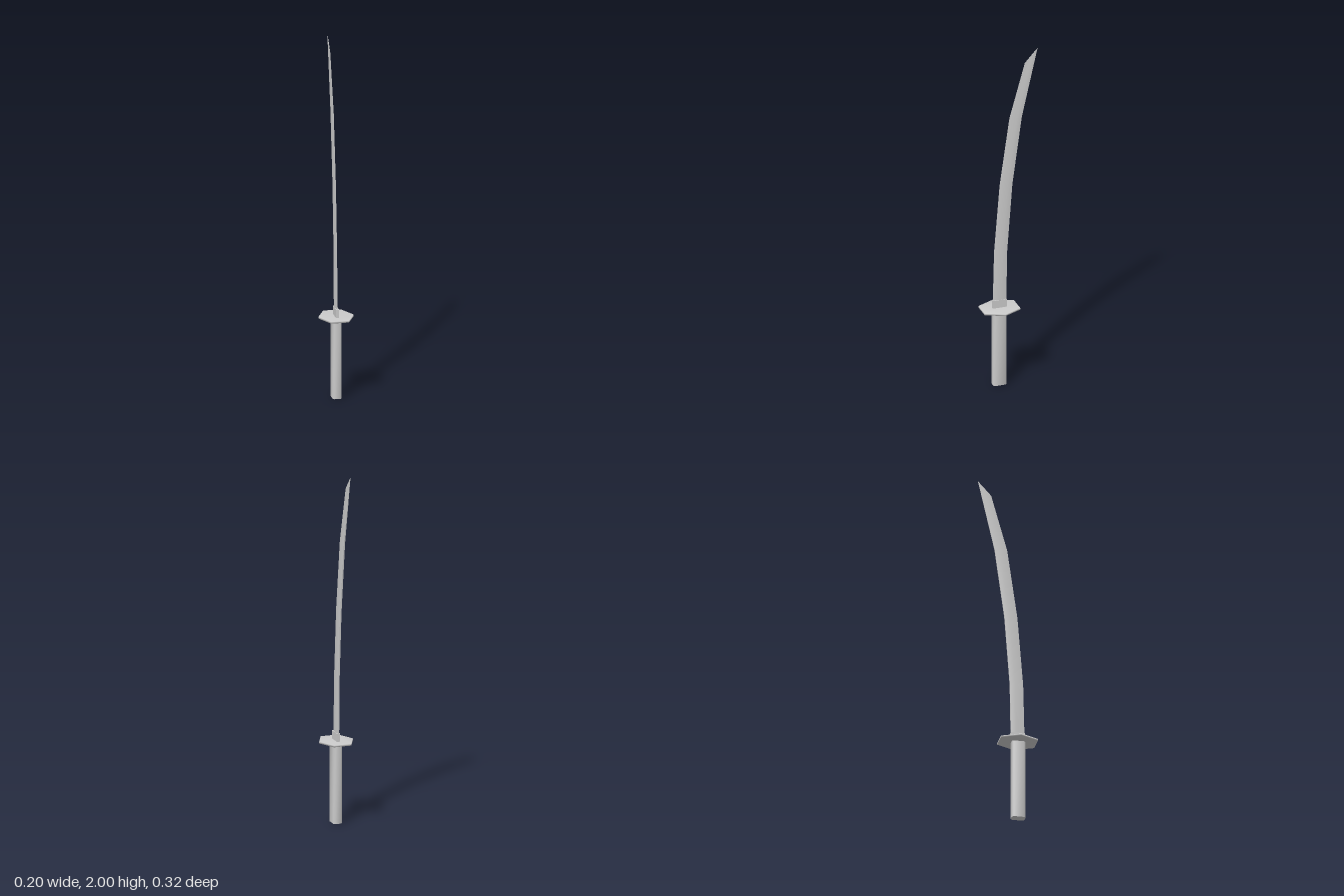
import * as THREE from 'three';
import { toCreasedNormals } from 'three/addons/utils/BufferGeometryUtils.js';

const material = new THREE.MeshStandardMaterial({ color: 0xcccccc });

// Skins equal-sized convex rings of [x, y, z], listed bottom to top, and caps both ends.
function loft(rings) {
  const n = rings[0].length, index = [];
  const last = (rings.length - 1) * n;
  for (let r = 0; r < rings.length - 1; r++) {
    for (let j = 0; j < n; j++) {
      const a = r * n + j, b = r * n + (j + 1) % n;
      index.push(a, b, b + n, a, b + n, a + n);
    }
  }
  for (let j = 1; j < n - 1; j++) {
    index.push(0, j + 1, j, last, last + j, last + j + 1);
  }
  const geometry = new THREE.BufferGeometry();
  geometry.setAttribute('position', new THREE.Float32BufferAttribute(rings.flat(2), 3));
  geometry.setIndex(index);
  geometry.computeVertexNormals();
  return geometry;
}

// Rectangle with cut corners, lying flat at height y.
function chamferedRing(y, hx, hz, cut, cz) {
  const x = hx - cut, z = hz - cut;
  return [[-x, hz], [x, hz], [hx, z], [hx, -z], [x, -hz], [-x, -hz], [-hx, -z], [-hx, z]]
    .map(([px, pz]) => [px, y, cz + pz]);
}

// Blade section: sharp edge in front, ridge on both sides, narrow spine at the back.
function bladeRing([frontY, frontZ, backY, backZ, w]) {
  const at = (x, t) => [x, THREE.MathUtils.lerp(frontY, backY, t), THREE.MathUtils.lerp(frontZ, backZ, t)];
  return [at(0, 0), at(w, 0.6), at(w * 0.5, 1), at(-w * 0.5, 1), at(-w, 0.6)];
}

export function createModel() {
  const group = new THREE.Group();
  const add = (name, geometry) => {
    const mesh = new THREE.Mesh(geometry, material);
    mesh.name = name;
    group.add(mesh);
  };

  // Grip with softened corners
  add('handle', toCreasedNormals(loft([
    chamferedRing(0, 0.025, 0.038, 0.009, 0.0625),
    chamferedRing(0.457, 0.025, 0.038, 0.009, 0.0625),
  ]), 1.0));

  // Thin hexagonal plate
  const hexagon = [[-0.05, 0.163], [0.05, 0.163], [0.098, 0.06], [0.05, -0.043], [-0.05, -0.043], [-0.098, 0.06]];
  add('guard', loft([0.454, 0.464].map((y) => hexagon.map(([x, z]) => [x, y, z]))));

  // Collar around the blade root
  const collar = new THREE.BoxGeometry(0.018, 0.05, 0.08);
  collar.translate(0, 0.485, 0.06);
  add('collar', collar);

  // Curved blade: front y, front z, back y, back z, half thickness
  const sections = [
    [0.46, 0.099, 0.46, 0.022, 0.008],
    [0.8, 0.091, 0.8, 0.016, 0.008],
    [1.2, 0.059, 1.2, -0.014, 0.008],
    [1.6, 0.002, 1.6, -0.069, 0.007],
    [1.92, -0.087, 2.0, -0.161, 0.001],
  ];
  add('blade', toCreasedNormals(loft(sections.map(bladeRing)), 1.0));

  return group;
}
